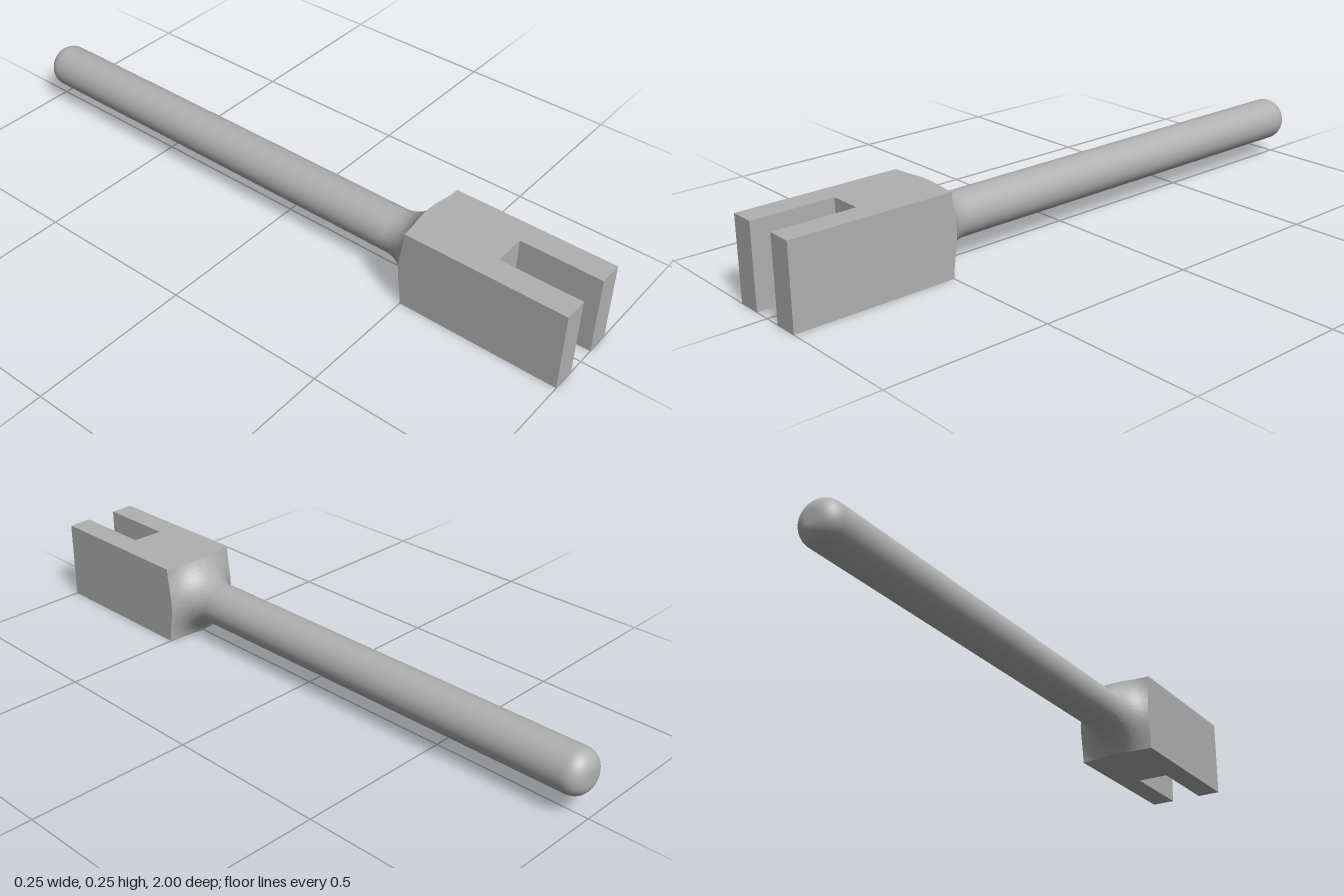
import * as THREE from 'three';
import { toCreasedNormals } from 'three/addons/utils/BufferGeometryUtils.js';

const HALF = 0.125;   // half width of the square block, also the axis height
const ROD = 0.0675;   // rod radius
const FLARE = 0.11;   // fillet radius between rod and block
const BACK = 0.5;     // back of the block
const END = 0.05;     // rounding at the rod end

// Surface from rows of points round the z axis; point(row, angle) gives [x, y, z]
function loft(rows, segments, point) {
  const positions = [], index = [];
  for (let i = 0; i <= rows; i++) {
    for (let j = 0; j <= segments; j++) {
      positions.push(...point(i / rows, ((j % segments) / segments) * Math.PI * 2));
    }
  }
  for (let i = 0; i < rows; i++) {
    for (let j = 0; j < segments; j++) {
      const a = i * (segments + 1) + j, c = a + segments + 1;
      index.push(a, a + 1, c, a + 1, c + 1, c);
    }
  }
  const geometry = new THREE.BufferGeometry();
  geometry.setAttribute('position', new THREE.Float32BufferAttribute(positions, 3));
  geometry.setIndex(index);
  return toCreasedNormals(geometry, 0.6);
}

export function createModel() {
  const group = new THREE.Group();
  const steel = new THREE.MeshStandardMaterial({ color: 0xb0b0b0 });
  steel.name = 'grey steel';
  const add = (name, geometry) => {
    const mesh = new THREE.Mesh(geometry, steel);
    mesh.name = name;
    group.add(mesh);
  };

  // Forked block: U outline in plan, extruded upwards
  const outline = [
    [-HALF, BACK], [-HALF, 1], [-0.05, 1], [-0.05, 0.75],
    [0.05, 0.75], [0.05, 1], [HALF, 1], [HALF, BACK],
  ].map(([x, z]) => new THREE.Vector2(x, -z));
  const fork = new THREE.ExtrudeGeometry(new THREE.Shape(outline), { depth: 2 * HALF, bevelEnabled: false });
  add('forkBlock', fork.rotateX(-Math.PI / 2));

  // Round fillet cut off by the square sides of the block
  const edge = (angle) => HALF / Math.max(Math.abs(Math.cos(angle)), Math.abs(Math.sin(angle)));
  const sweep = (angle) => Math.acos((ROD + FLARE - edge(angle)) / FLARE);
  const at = (r, angle, z) => [r * Math.cos(angle), HALF + r * Math.sin(angle), z];
  const zStart = BACK - FLARE;
  add('flaredNeck', loft(14, 96, (t, angle) => {
    const phi = t * sweep(angle);
    return at(ROD + FLARE * (1 - Math.cos(phi)), angle, zStart + FLARE * Math.sin(phi));
  }));

  // Curved back edge of the block sides, meeting the fillet
  add('blockBackRim', loft(1, 96, (t, angle) => {
    const z = zStart + FLARE * Math.sin(sweep(angle));
    return at(edge(angle), angle, z + (BACK - z) * t);
  }));

  // Rod with a rounded end
  const profile = [new THREE.Vector2(ROD, -zStart), new THREE.Vector2(ROD, 0.94)];
  for (let i = 0; i <= 10; i++) {
    const a = (i / 10) * Math.PI / 2;
    profile.push(new THREE.Vector2(ROD - END + END * Math.cos(a), 1 - END + END * Math.sin(a)));
  }
  profile.push(new THREE.Vector2(0, 1));
  const rod = new THREE.LatheGeometry(profile, 64);
  add('rod', rod.rotateX(-Math.PI / 2).translate(0, HALF, 0));

  return group;
}
